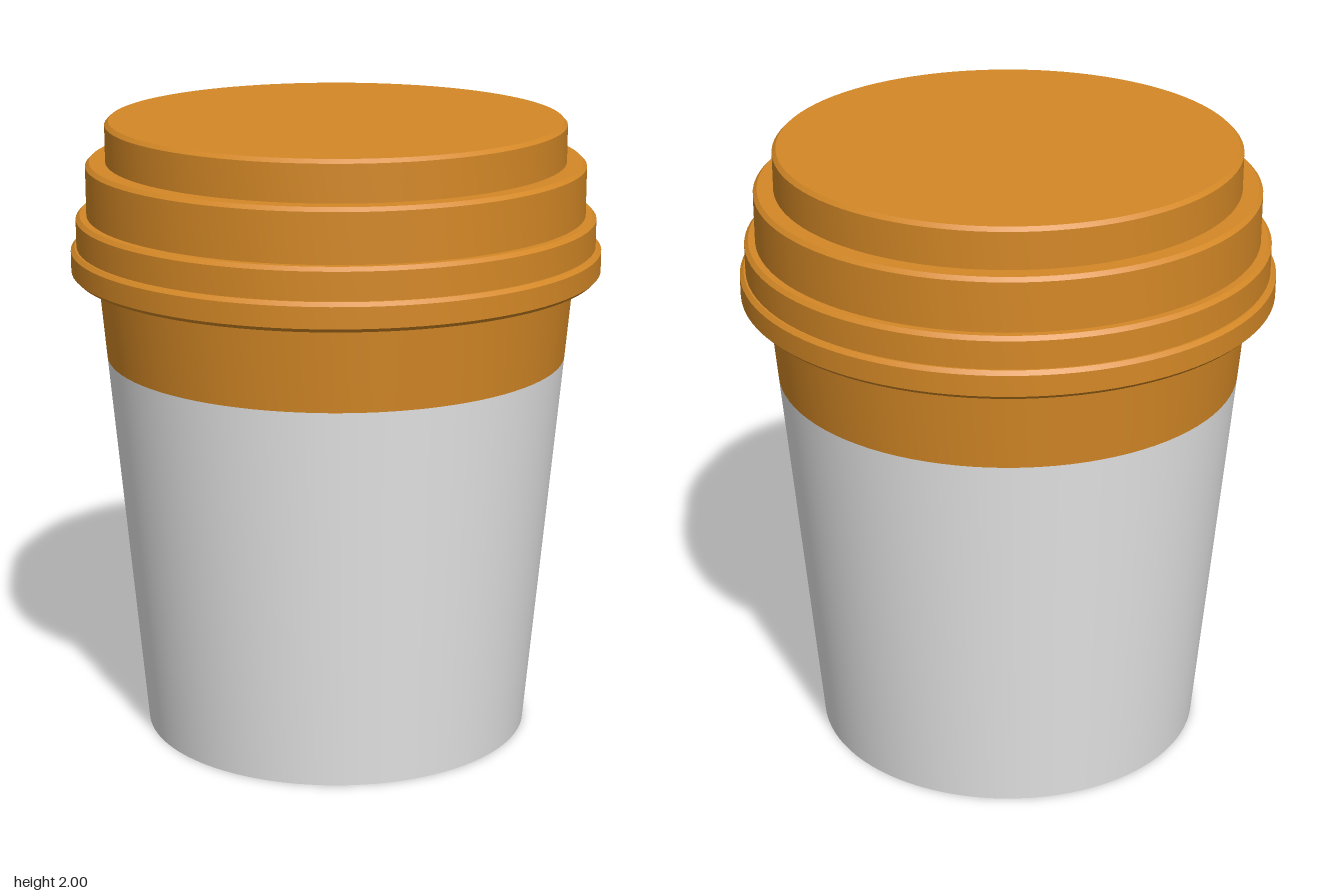
import * as THREE from 'three';
import { toCreasedNormals } from 'three/addons/utils/BufferGeometryUtils.js';

const SEGMENTS = 96;

// Turned part from [radius, height] pairs, listed bottom to top
function turned(name, points, material) {
  const profile = points.map(([r, y]) => new THREE.Vector2(r, y));
  const geometry = toCreasedNormals(new THREE.LatheGeometry(profile, SEGMENTS), 0.4);
  const mesh = new THREE.Mesh(geometry, material);
  mesh.name = name;
  return mesh;
}

export function createModel() {
  const white = new THREE.MeshStandardMaterial({ color: 0xececec });
  white.name = 'white paper';
  const orange = new THREE.MeshStandardMaterial({ color: 0xd48826 });
  orange.name = 'orange';

  const group = new THREE.Group();
  group.name = 'takeawayCup';

  // Tapered cup with closed base, and its coloured upper band
  group.add(turned('cupBody', [[0, 0], [0.625, 0], [0.735, 1.245]], white));
  group.add(turned('cupBand', [[0.735, 1.245], [0.759, 1.52]], orange));

  // Stepped lid: each tier is [radius, bottom, top], with small chamfers
  const tiers = [
    [0.842, 1.515, 1.605],
    [0.824, 1.605, 1.705],
    [0.79, 1.705, 1.872],
    [0.727, 1.872, 2],
  ];
  const c = 0.012;
  const lid = [[0.757, 1.515], [tiers[0][0] - c, 1.515], [tiers[0][0], 1.515 + c]];
  tiers.forEach(([r, bottom, top], i) => {
    if (i > 0) lid.push([r, bottom]);
    lid.push([r, top - c], [r - c, top]);
  });
  lid.push([0, 2]);
  group.add(turned('lid', lid, orange));

  return group;
}
